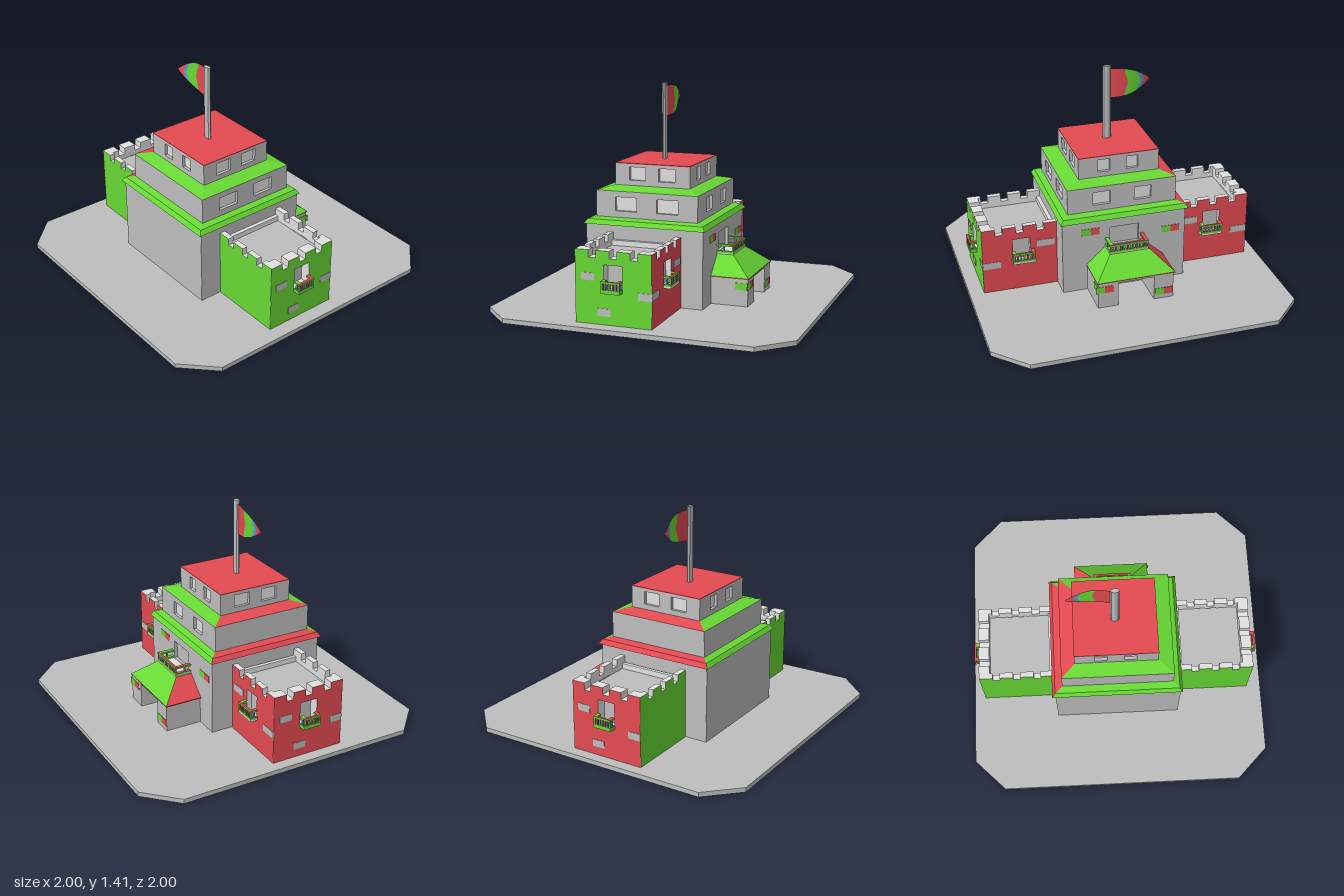
import * as THREE from 'three';

const mat = (name, color) => {
  const m = new THREE.MeshStandardMaterial({ color });
  m.name = name;
  return m;
};

export function createModel() {
  const root = new THREE.Group();
  root.name = 'fort';
  const wall = mat('stone grey', 0xbebebe);
  const light = mat('light stone', 0xe2e2e2);
  const red = mat('red', 0xe44a52);
  const green = mat('green', 0x68d934);
  const blue = mat('blue', 0x4f9ad9);
  for (const m of [red, green, blue]) m.side = THREE.DoubleSide;

  const add = (parent, name, geo, material) => {
    const mesh = new THREE.Mesh(geo, material);
    mesh.name = name;
    parent.add(mesh);
    return mesh;
  };
  // Box given by its limits
  const box = (parent, name, m, x0, x1, y0, y1, z0, z1) => {
    const b = add(parent, name, new THREE.BoxGeometry(x1 - x0, y1 - y0, z1 - z0), m);
    b.position.set((x0 + x1) / 2, (y0 + y1) / 2, (z0 + z1) / 2);
    return b;
  };
  // Box tapering from rectangle a to rectangle b, each [x0, x1, z0, z1]
  const frustum = (name, m, a, y0, b, y1) => {
    const geo = new THREE.BoxGeometry(1, 1, 1);
    const p = geo.attributes.position;
    for (let i = 0; i < p.count; i++) {
      const top = p.getY(i) > 0, r = top ? b : a;
      p.setXYZ(i, p.getX(i) < 0 ? r[0] : r[1], top ? y1 : y0, p.getZ(i) < 0 ? r[2] : r[3]);
    }
    geo.computeVertexNormals();
    return add(root, name, geo, m);
  };
  // Wall panel with its outer face on z = 0; holes are [centre, y0, width, height]
  const panel = (parent, name, w, y0, y1, t, holes, face, edge, merlons = 0) => {
    const s = new THREE.Shape();
    const h = w / 2;
    s.moveTo(-h, y0);
    s.lineTo(h, y0);
    s.lineTo(h, y1);
    const gap = 0.048, mw = (w - gap * (merlons - 1)) / merlons;
    for (let i = 1; i < merlons; i++) {
      const x = h - i * mw - (i - 1) * gap;
      s.lineTo(x, y1);
      s.lineTo(x, y1 - 0.045);
      s.lineTo(x - gap, y1 - 0.045);
      s.lineTo(x - gap, y1);
    }
    s.lineTo(-h, y1);
    for (const [u, hy, hw, hh] of holes) {
      const p = new THREE.Path();
      p.moveTo(u - hw / 2, hy);
      p.lineTo(u - hw / 2, hy + hh);
      p.lineTo(u + hw / 2, hy + hh);
      p.lineTo(u + hw / 2, hy);
      s.holes.push(p);
    }
    const geo = new THREE.ExtrudeGeometry(s, { depth: t, bevelEnabled: false });
    const caps = geo.groups[0].count, sides = geo.groups[1].count;
    geo.clearGroups();
    geo.addGroup(0, caps / 2, 1);
    geo.addGroup(caps / 2, caps / 2, 0);
    geo.addGroup(caps, sides, 1);
    geo.translate(0, 0, -t);
    return add(parent, name, geo, [face, edge]);
  };
  const sideGroup = (name, x, z, turn) => {
    const g = new THREE.Group();
    g.name = name;
    g.position.set(x, 0, z);
    g.rotation.y = turn * Math.PI / 2;
    root.add(g);
    return g;
  };
  // Balcony with striped balusters, projecting along +z
  const stripes = [green, red, blue];
  const balcony = (parent, u, y, w, d, h, n, floor) => {
    const g = new THREE.Group();
    g.name = 'balcony';
    g.position.set(u, y, 0);
    parent.add(g);
    const a = w / 2, rail = 0.014, sideRail = 0.024;
    box(g, 'balconyFloor', floor, -a, a, 0, 0.012, 0, d);
    for (const [y0, front] of [[0.012, green], [h - 0.012, red]]) {
      box(g, 'frontRail', [front, front, red, green, green, green], -a, a, y0, y0 + 0.012, d - rail, d);
      box(g, 'sideRail', green, -a, -a + sideRail, y0, y0 + 0.012, 0, d - rail);
      box(g, 'sideRail', [green, green, red, green, green, green], a - sideRail, a, y0, y0 + 0.012, 0, d - rail);
    }
    for (let i = 0; i < n; i++) {
      const x = -a + 0.008 + (w - 0.016) * i / (n - 1);
      box(g, 'baluster', stripes[i % 3], x - 0.005, x + 0.005, 0.02, h - 0.01, d - 0.011, d - 0.001);
    }
    for (const s of [-1, 1]) box(g, 'sideBaluster', blue, s * (a - 0.006) - 0.005, s * (a - 0.006) + 0.005, 0.02, h - 0.01, d * 0.35, d * 0.35 + 0.01);
  };

  // Ground plate with cut corners
  const plate = new THREE.Shape([[1, 0.8], [0.8, 1], [-0.8, 1], [-1, 0.8], [-1, -0.8], [-0.8, -1], [0.8, -1], [1, -0.8]].map(p => new THREE.Vector2(...p)));
  const plateGeo = new THREE.ExtrudeGeometry(plate, { depth: 0.03, bevelEnabled: false });
  plateGeo.rotateX(-Math.PI / 2);
  add(root, 'groundPlate', plateGeo, wall);

  // Storeys: core behind four wall panels; holes listed as front, right, back, left
  const storey = (name, core, [x0, x1, z0, z1], y0, y1, holes) => {
    const t = 0.02, cx = (x0 + x1) / 2, cz = (z0 + z1) / 2;
    box(root, name + 'Core', core, x0 + t, x1 - t, y0, y1 - 0.002, z0 + t, z1 - t);
    const at = [[cx, z1], [x1, cz], [cx, z0], [x0, cz]];
    for (let i = 0; i < 4; i++) {
      const g = sideGroup(name + 'Side', ...at[i], i);
      panel(g, name + 'Wall', (i % 2 ? z1 - z0 : x1 - x0) - 0.002, y0, y1, t, holes[i], wall, wall);
    }
  };
  const R1 = [-0.5, 0.29, -0.42, 0.41], R2 = [-0.45, 0.24, -0.37, 0.36], R3 = [-0.36, 0.15, -0.28, 0.26];
  const pair = (a, b, y, w, h) => [[a, y, w, h], [b, y, w, h]];
  const f3 = pair(-0.1, 0.1, 0.8, 0.11, 0.085), s3 = pair(-0.1, 0.09, 0.8, 0.08, 0.085);
  storey('lowerStorey', wall, R1, 0.03, 0.535, [[], [[0, 0.34, 0.195, 0.125]], [], []]);
  storey('middleStorey', light, R2, 0.56, 0.742, [pair(-0.14, 0.14, 0.614, 0.145, 0.09), pair(-0.137, 0.139, 0.614, 0.115, 0.09), [], []]);
  storey('upperStorey', light, R3, 0.76, 0.905, [f3, s3, f3, s3]);

  // Roofs between storeys; materials run right, left, top, bottom, front, back
  const E0 = [-0.515, 0.305, -0.44, 0.42], E1 = [-0.495, 0.285, -0.42, 0.4];
  const roofMats = [green, green, green, green, green, red];
  frustum('lowerEaves', roofMats, E0, 0.53, E1, 0.56);
  frustum('lowerRoof', roofMats, E1, 0.56, R2, 0.572);
  frustum('middleRoof', roofMats, R2, 0.742, R3, 0.766);
  box(root, 'upperRoof', red, R3[0], R3[1], 0.905, 0.91, R3[2], R3[3]);

  // Battlemented towers at front and back
  const tower = (zc, sgn) => {
    const xc = -0.1025, w = 0.495, d = 0.5;
    const sides = [
      { turn: sgn > 0 ? 0 : 2, x: xc, z: zc + sgn * d / 2, w, t: 0.07, face: sgn > 0 ? green : red, win: [0, 0.24, 0.12, 0.16], deck: [0, 0.125, green], bw: 0.085, bricks: [[-0.165, 0.322], [-0.06, 0.107], [0.204, 0.225]] },
      { turn: 1, x: xc + w / 2, z: zc, w: d, t: 0.037, face: red, win: [sgn * 0.01, 0.24, 0.115, 0.155], deck: [sgn * 0.018, 0.15, light], bw: 0.115, bricks: [[sgn * 0.17, 0.342], [sgn * -0.19, 0.225]] },
      { turn: 3, x: xc - w / 2, z: zc, w: d, t: 0.037, face: green, bw: 0, bricks: [] },
    ];
    for (const s of sides) {
      const g = sideGroup('towerSide', s.x, s.z, s.turn);
      panel(g, 'towerWall', s.w - 0.002, 0.03, 0.485, s.t, s.win ? [s.win] : [], s.face, light, 4);
      for (const [u, y] of s.bricks) box(g, 'stoneBrick', wall, u - s.bw / 2, u + s.bw / 2, y - 0.023, y + 0.023, -0.003, 0.003);
      if (s.win) {
        box(g, 'windowPane', wall, s.win[0] - 0.065, s.win[0] + 0.065, 0.23, 0.41, -s.t - 0.002, -s.t + 0.004);
        balcony(g, s.deck[0], 0.235, s.deck[1], 0.048, 0.075, 7, s.deck[2]);
      }
    }
    const a = zc - sgn * (d / 2 - 0.03), b = zc + sgn * (d / 2 - 0.068);
    box(root, 'towerFloor', wall, xc - w / 2 + 0.035, xc + w / 2 - 0.035, 0.03, 0.405, Math.min(a, b), Math.max(a, b));
    const c = zc - sgn * (d / 2 - 0.005);
    box(root, 'innerParapet', light, xc - w / 2 + 0.03, xc + w / 2 - 0.03, 0.03, 0.44, Math.min(a, c), Math.max(a, c));
  };
  tower(0.655, 1);
  tower(-0.675, -1);

  // Porch piers, roof and balcony on the side
  box(root, 'porchPier', wall, 0.288, 0.535, 0.03, 0.21, 0.11, 0.245);
  box(root, 'porchPier', wall, 0.288, 0.535, 0.03, 0.21, -0.26, -0.13);
  box(root, 'porchLintel', wall, 0.288, 0.534, 0.195, 0.21, -0.13, 0.11);
  frustum('porchRoof', [green, green, green, wall, green, red], [0.288, 0.54, -0.27, 0.25], 0.213, [0.288, 0.4, -0.14, 0.125], 0.33);
  box(root, 'porchEave', red, 0.288, 0.54, 0.207, 0.213, -0.27, 0.25);
  balcony(sideGroup('porchBalcony', 0.29, -0.005, 1), 0, 0.325, 0.26, 0.11, 0.068, 16, light);

  // Coloured bricks on the main wall and porch
  const brickAt = (x, z, y, m) => box(root, 'colouredBrick', m, x - 0.003, x + 0.003, y - 0.023, y + 0.023, z - 0.03, z + 0.03);
  for (const [x, z, y] of [[0.29, 0.222, 0.452], [0.29, -0.32, 0.393], [0.535, 0.2, 0.16], [0.535, -0.197, 0.083]]) {
    brickAt(x, z + 0.03, y, green);
    brickAt(x, z - 0.03, y, red);
  }
  box(root, 'colouredBrick', green, 0.45, 0.538, 0.138, 0.182, 0.242, 0.248);

  // Flagpole
  const pole = add(root, 'flagpole', new THREE.CylinderGeometry(0.015, 0.015, 0.505, 8).toNonIndexed(), wall);
  pole.geometry.computeVertexNormals();
  pole.scale.z = 1.9;
  pole.position.set(-0.12, 1.158, -0.01);

  // Waving pennant in chevron bands, narrowing to a point
  const half = t => 0.1 * (1 - Math.pow(t, 2.5));
  const bands = [[0, 0.42, red], [0.42, 0.75, green], [0.75, 0.84, blue], [0.84, 1, red]];
  const chevron = (t, v) => (t > 0 && t < 1 ? t - 0.1 * Math.abs(v) : t);
  for (const [t0, t1, m] of bands) {
    const geo = new THREE.PlaneGeometry(1, 1, 6, 6);
    const p = geo.attributes.position;
    for (let i = 0; i < p.count; i++) {
      const v = p.getY(i) * 2;
      const t = THREE.MathUtils.lerp(chevron(t0, v), chevron(t1, v), p.getX(i) + 0.5);
      p.setXYZ(i, -0.115 + 0.013 * Math.sin(t * 4) + 0.005 * v * t, 1.29 + v * half(t), -0.035 - 0.275 * t);
    }
    geo.computeVertexNormals();
    add(root, 'flagBand', geo, m);
  }
  return root;
}
